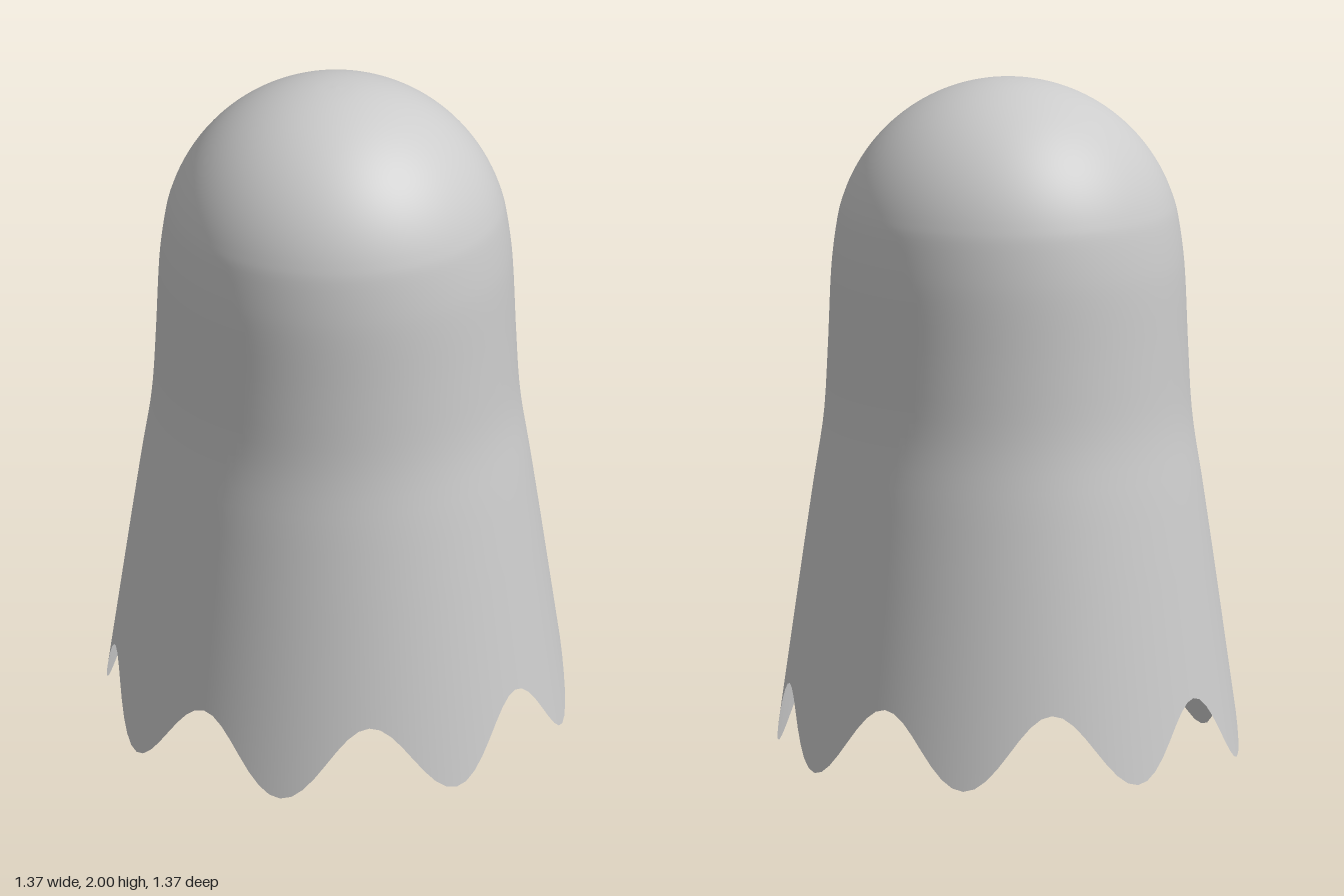
import * as THREE from 'three';

const HEM_TOP = 0.6;     // height above which the sheet is a plain body of revolution
const SCALLOPS = 8;
const SCALLOP_HEIGHT = 0.22;

// Below HEM_TOP the sheet flares as a straight cone
const flareRadius = (y) => 0.6 + (HEM_TOP - y) * 0.14;

function sheetProfile() {
  const points = [];
  // skirt
  for (let i = 0; i < 12; i++) {
    const y = (HEM_TOP * i) / 12;
    points.push(new THREE.Vector2(flareRadius(y), y));
  }
  // body and dome, bottom to top
  const path = [[0.6, 0.6], [0.571, 0.8], [0.541, 1.0], [0.529, 1.2], [0.521, 1.4], [0.513, 1.5]]
    .map(([r, y]) => new THREE.Vector2(r, y));
  const domeRadius = 0.51;
  for (let a = 12; a <= 90; a += 6) {
    const t = THREE.MathUtils.degToRad(a);
    path.push(new THREE.Vector2(Math.max(0, domeRadius * Math.cos(t)), 1.49 + domeRadius * Math.sin(t)));
  }
  points.push(...new THREE.SplineCurve(path).getPoints(72));
  points[points.length - 1].set(0, 2);
  return points;
}

export function createModel() {
  const geometry = new THREE.LatheGeometry(sheetProfile(), 128);

  // Scalloped hem: slide the skirt rows up along the cone
  const pos = geometry.attributes.position;
  for (let i = 0; i < pos.count; i++) {
    const y = pos.getY(i);
    if (y >= HEM_TOP) continue;
    const angle = Math.atan2(pos.getX(i), pos.getZ(i));
    const hem = (SCALLOP_HEIGHT / 2) * (1 - Math.cos(SCALLOPS * angle));
    const newY = THREE.MathUtils.lerp(hem, HEM_TOP, y / HEM_TOP);
    const r = flareRadius(newY);
    pos.setXYZ(i, r * Math.sin(angle), newY, r * Math.cos(angle));
  }

  const sheet = new THREE.Mesh(
    geometry,
    new THREE.MeshStandardMaterial({ color: 0xcccccc, side: THREE.DoubleSide })
  );
  sheet.name = 'sheet';

  const group = new THREE.Group();
  group.name = 'ghostSheet';
  group.add(sheet);
  return group;
}
